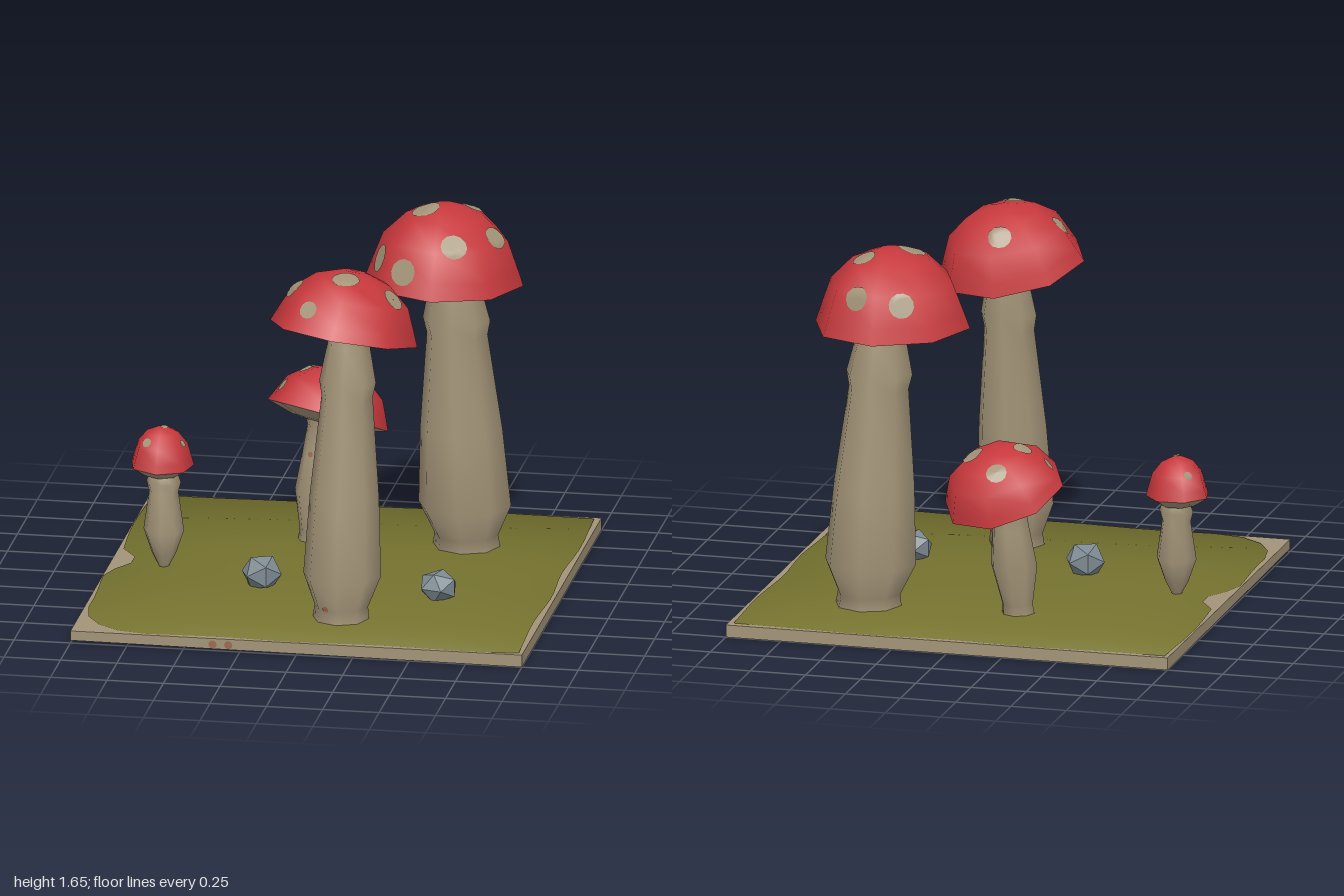
import * as THREE from 'three';

const mat = (name, color, side = THREE.FrontSide) => {
  const m = new THREE.MeshStandardMaterial({ color, side });
  m.name = name;
  return m;
};
const V = (x, y, z) => new THREE.Vector3(x, y, z);

// Stem profiles as [height fraction, width fraction]
const TALL = [[0, 0.74], [0.055, 0.69], [0.16, 1], [0.43, 0.89], [0.76, 0.66], [0.81, 0.73], [0.94, 0.54], [1, 0.54]];
const SHORT = [[0, 0.72], [0.1, 0.66], [0.39, 1], [0.66, 0.8], [0.86, 0.68], [1, 0.95]];
const SMALL = [[0, 0.2], [0.16, 0.6], [0.4, 1], [0.8, 0.72], [0.9, 0.85], [1, 0.68]];

export function createModel() {
  const tan = mat('tan', 0xa39478);
  const red = mat('red', 0xc6383c);
  const moss = mat('moss', 0x75722f);
  const grey = mat('stone grey', 0x7e8a92);
  const rust = mat('rust', 0x9b6b50);
  const tanOpen = mat('gill tan', 0xa39478, THREE.DoubleSide);

  const root = new THREE.Group();
  root.name = 'mushroomPatch';
  const ray = new THREE.Raycaster();

  const add = (name, geometry, material, parent = root) => {
    const m = new THREE.Mesh(geometry, material);
    m.name = name;
    parent.add(m);
    return m;
  };

  // Round patch wrapped onto a surface: found by a ray, then shrunk towards an inner point
  const patch = (name, target, from, dir, inner, radius, material, parent) => {
    target.updateMatrixWorld(true);
    ray.set(from, dir);
    const hit = ray.intersectObject(target)[0];
    if (!hit) return;
    const n = hit.face.normal.clone().transformDirection(target.matrixWorld);
    const q = new THREE.Quaternion().setFromUnitVectors(V(0, 0, 1), n);
    const g = new THREE.RingGeometry(0.001, radius, 12, 4);
    const p = g.attributes.position;
    for (let i = 0; i < p.count; i++) {
      const v = V().fromBufferAttribute(p, i).applyQuaternion(q).add(hit.point).addScaledVector(n, 0.1);
      const d = inner.clone().sub(v).normalize();
      ray.set(v, d);
      const h = ray.intersectObject(target)[0];
      const s = h ? h.point.addScaledVector(d, -0.005) : hit.point;
      p.setXYZ(i, s.x, s.y, s.z);
    }
    g.computeVertexNormals();
    add(name, g, material, parent);
  };

  // Eight-sided stem from foot to top, following a width profile
  const stemGeometry = (foot, top, radius, profile) => {
    const sides = 8, pos = [], idx = [];
    profile.forEach(([t, w], i) => {
      const c = foot.clone().lerp(top, t);
      for (let j = 0; j < sides; j++) {
        const a = (j / sides) * Math.PI * 2;
        pos.push(c.x + radius * w * Math.sin(a), c.y, c.z + radius * w * Math.cos(a));
        if (i === profile.length - 1) continue;
        const k = i * sides + j, l = i * sides + ((j + 1) % sides);
        idx.push(k, l, k + sides, l, l + sides, k + sides);
      }
    });
    const g = new THREE.BufferGeometry();
    g.setAttribute('position', new THREE.Float32BufferAttribute(pos, 3));
    g.setIndex(idx);
    g.computeVertexNormals();
    return g;
  };

  // Slab with one lifted lower corner
  const slabGeo = new THREE.BoxGeometry(2, 0.055, 2).translate(0, 0.0275, 0);
  const sp = slabGeo.attributes.position;
  for (let i = 0; i < sp.count; i++) {
    if (sp.getX(i) < 0 && sp.getY(i) < 0.01 && sp.getZ(i) > 0) sp.setY(i, 0.012);
  }
  slabGeo.computeVertexNormals();
  const slab = add('groundSlab', slabGeo, tan);

  // Moss carpet: a wavy square with bites on the left side and front left corner,
  // its normals rolling off towards the edges
  const N = 64, steps = 6, mp = [], mn = [], mi = [];
  const bite = (x, z, bx, bz, depth, width) => depth * Math.exp(-Math.pow(Math.hypot(x - bx, z - bz) / width, 4));
  for (let s = 0; s <= steps; s++) {
    for (let j = 0; j < N; j++) {
      const a = (j / N) * Math.PI * 2, c = Math.cos(a), d = -Math.sin(a);
      const k = 1 / Math.max(Math.abs(c), Math.abs(d));
      const x = c * k, z = d * k;
      const inset = 0.012 + 0.008 * Math.sin(a * 9) + (x > 0.99 ? 0.01 : 0)
        + bite(x, z, -1, -0.03, 0.08, 0.13) + bite(x, z, -1, 1, 0.1, 0.17);
      const t = (s / steps) * (1 - inset), px = x * t, pz = z * t;
      mp.push(px, 0.058 + 0.006 * (1 - s / steps), pz);
      const n = V(0.5 * px * Math.abs(px), 1, 0.6 * pz * Math.abs(pz)).normalize();
      mn.push(n.x, n.y, n.z);
      if (s === steps) continue;
      const e = s * N + j, f = s * N + ((j + 1) % N);
      mi.push(e, e + N, f + N);
      if (s > 0) mi.push(e, f + N, f);
    }
  }
  const mossGeo = new THREE.BufferGeometry();
  mossGeo.setAttribute('position', new THREE.Float32BufferAttribute(mp, 3));
  mossGeo.setAttribute('normal', new THREE.Float32BufferAttribute(mn, 3));
  mossGeo.setIndex(mi);
  add('mossCarpet', mossGeo, moss);

  // One mushroom; spots are [x, z, radius] seen from above. Returns its stem
  const mushroom = (name, { foot, top, girth, profile, at, lean, r, h, under, sides, spots }) => {
    const g = new THREE.Group();
    g.name = name;
    root.add(g);
    const stem = add('stem', stemGeometry(foot, top, girth, profile), tan, g);

    // Domed cap and its pale underside
    const dome = [[1, 0], [0.93, 0.2], [0.79, 0.58], [0.5, 0.87], [0.16, 1], [0, 1]]
      .map(([x, y]) => new THREE.Vector2(x * r, y * h));
    const gills = [[0.25, under], [0.55, under * 0.8], [1, 0]].map(([x, y]) => new THREE.Vector2(x * r, y));
    const cap = add('cap', new THREE.LatheGeometry(dome, sides), red, g);
    const underside = add('capUnderside', new THREE.LatheGeometry(gills, sides), tanOpen, g);
    const up = lean.normalize();
    for (const part of [cap, underside]) {
      part.position.copy(at);
      part.quaternion.setFromUnitVectors(V(0, 1, 0), up);
    }

    // Pale spots
    const inner = at.clone().addScaledVector(up, h * 0.25);
    for (const [x, z, sr] of spots) patch('capSpot', cap, V(x, 3, z), V(0, -1, 0), inner, sr, tan, g);
    return stem;
  };

  const frontStem = mushroom('frontMushroom', {
    foot: V(0.13, 0.04, 0.615), top: V(0.15, 1.37, 0.52), girth: 0.172, profile: TALL,
    at: V(0.13, 1.335, 0.54), lean: V(0.14, 1, -0.2), r: 0.33, h: 0.28, under: 0.02, sides: 8,
    spots: [[0.14, 0.31, 0.075], [-0.1, 0.52, 0.07], [0.16, 0.65, 0.09], [0.37, 0.58, 0.075], [-0.01, 0.75, 0.055]],
  });
  mushroom('backRightMushroom', {
    foot: V(0.49, 0.04, -0.51), top: V(0.44, 1.35, -0.47), girth: 0.205, profile: TALL,
    at: V(0.41, 1.3, -0.4), lean: V(0.02, 1, -0.02), r: 0.35, h: 0.345, under: 0.02, sides: 8,
    spots: [[0.34, -0.36, 0.09], [0.52, -0.5, 0.075], [0.3, -0.65, 0.075], [0.5, -0.65, 0.075],
      [0.66, -0.35, 0.075], [0.14, -0.29, 0.085], [0.26, -0.14, 0.08], [0.49, -0.16, 0.08]],
  });
  const backStem = mushroom('backLeftMushroom', {
    foot: V(-0.18, 0.04, -0.475), top: V(-0.14, 0.66, -0.52), girth: 0.105, profile: SHORT,
    at: V(-0.13, 0.61, -0.53), lean: V(0.22, 1, -0.37), r: 0.275, h: 0.215, under: -0.04, sides: 8,
    spots: [[-0.145, -0.71, 0.07], [-0.225, -0.53, 0.065], [0.02, -0.57, 0.08], [-0.34, -0.5, 0.045]],
  });
  mushroom('smallMushroom', {
    foot: V(-0.76, 0.05, 0.015), top: V(-0.765, 0.48, -0.01), girth: 0.09, profile: SMALL,
    at: V(-0.775, 0.51, -0.015), lean: V(0.02, 1, 0.02), r: 0.142, h: 0.175, under: -0.05, sides: 7,
    spots: [[-0.83, -0.1, 0.035], [-0.835, 0.05, 0.037], [-0.755, 0, 0.03], [-0.68, 0.01, 0.032]],
  });

  // Rusty marks on two stems and the slab edge
  const back = V(0, 0, -1);
  patch('stemMark', backStem, V(-0.18, 0.45, 2), back, V(-0.17, 0.45, -0.5), 0.03, rust, root);
  patch('stemMark', frontStem, V(0.08, 0.11, 2), back, V(0.13, 0.11, 0.6), 0.025, rust, root);
  for (const x of [-0.37, -0.3]) patch('edgeMark', slab, V(x, 0.03, 2), back, V(x, 0.03, 0), 0.02, rust, root);

  // Stones
  const stone = (x, y, z, width, height, turn) => {
    const g = new THREE.IcosahedronGeometry(1, 0).rotateY(turn).scale(width, height, width);
    add('stone', g, grey).position.set(x, y, z);
  };
  stone(-0.29, 0.118, 0.22, 0.092, 0.085, 0.4);
  stone(0.5, 0.112, 0.26, 0.09, 0.075, 1.3);
  return root;
}
